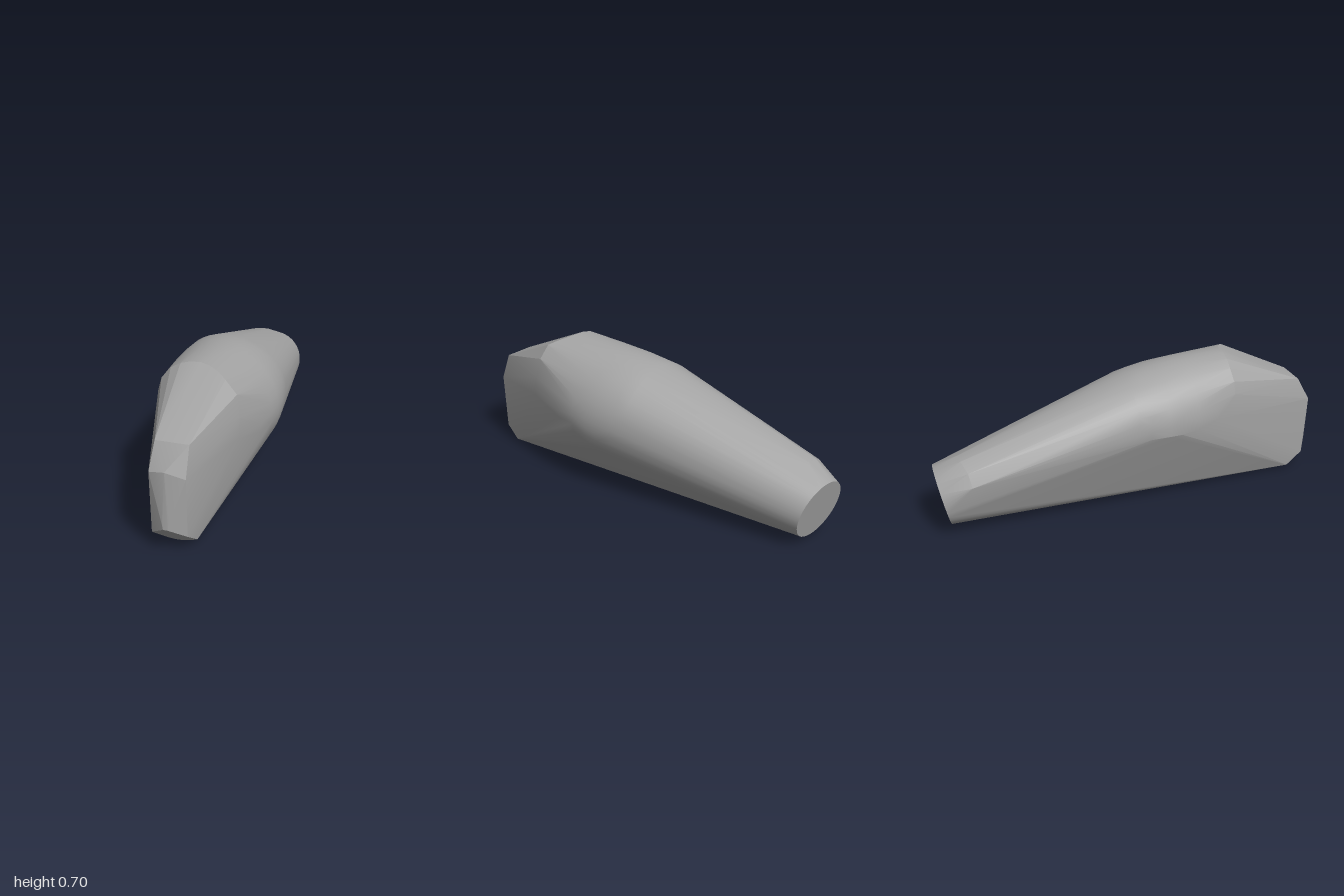
import * as THREE from 'three';
import { ConvexGeometry } from 'three/addons/geometries/ConvexGeometry.js';
import { toCreasedNormals } from 'three/addons/utils/BufferGeometryUtils.js';

const grey = new THREE.MeshStandardMaterial({ color: 0xa4a4a4 });
grey.name = 'grey';

const corners = list => list.map(p => new THREE.Vector3(...p));

// points along an arc given in degrees; place(cos, sin) returns each position
function arc(from, to, count, place) {
  const points = [];
  for (let i = 0; i <= count; i++) {
    const a = THREE.MathUtils.degToRad(from + (to - from) * i / count);
    points.push(new THREE.Vector3(...place(Math.cos(a), Math.sin(a))));
  }
  return points;
}

// swell section: an ellipse carried higher on the right side than on the left
const section = (cx, cy, z, rx, ry, from, to) =>
  arc(from, to, 22, (c, s) => [cx + rx * c, cy + ry * s - 0.026 * c, z]);

export function createModel() {
  const group = new THREE.Group();
  group.name = 'taperedShell';

  // leaning round cap at the rear
  const rearCap = arc(0, 350, 35, (c, s) =>
    [-0.067 + 0.154 * c, 0.175 + 0.146 * s, -0.965 + 0.012 * c - 0.035 * s]);

  // shoulder just ahead of the rear cap
  const rearShoulder = corners([
    [-0.25, 0.28, -0.85], [-0.215, 0.34, -0.86], [-0.15, 0.376, -0.88], [-0.09, 0.38, -0.88],
  ]);

  // swollen middle, as arcs open at the bottom
  const swell = [
    ...section(-0.014, 0.42, -0.04, 0.269, 0.224, 5, 186),
    ...section(-0.008, 0.405, 0.02, 0.277, 0.252, -16, 187),
    ...section(0, 0.405, 0.12, 0.281, 0.268, -36, 187),
    ...section(0.002, 0.405, 0.18, 0.279, 0.274, -34, 187),
    ...section(0.005, 0.41, 0.27, 0.272, 0.277, -25, 186),
    ...section(0.007, 0.42, 0.38, 0.25, 0.274, -10, 182),
  ];

  // brow edge above the sloping front
  const brow = corners([
    [-0.212, 0.54, 0.48], [-0.195, 0.6, 0.48], [-0.15, 0.655, 0.475], [-0.1, 0.684, 0.48],
    [-0.05, 0.698, 0.48], [0, 0.7, 0.48], [0.05, 0.694, 0.495], [0.1, 0.68, 0.525],
    [0.14, 0.662, 0.555], [0.195, 0.6, 0.56], [0.213, 0.5, 0.58], [0.213, 0.4, 0.59],
  ]);

  // narrow blunt nose
  const nose = corners([
    [-0.06, 0.5, 0.905], [0.097, 0.5, 0.905],
    [-0.066, 0.38, 0.971], [0.098, 0.36, 0.958], [0.01, 0.393, 0.983],
    [0, 0.15, 0.998], [0.03, 0.15, 0.998], [0.005, 0.125, 1], [0.025, 0.125, 1],
    [-0.068, 0.075, 0.95], [0.096, 0.075, 0.943],
  ]);

  // shallow curved lower lip
  const lip = [];
  for (let i = 0; i <= 10; i++) {
    const t = i / 5 - 1;
    lip.push(new THREE.Vector3(0.012 + 0.098 * t, 0.018 * t * t, 0.86));
  }

  const hull = new ConvexGeometry([...rearCap, ...rearShoulder, ...swell, ...brow, ...nose, ...lip]);
  const body = new THREE.Mesh(toCreasedNormals(hull, 0.25), grey);
  body.name = 'body';
  group.add(body);
  return group;
}
